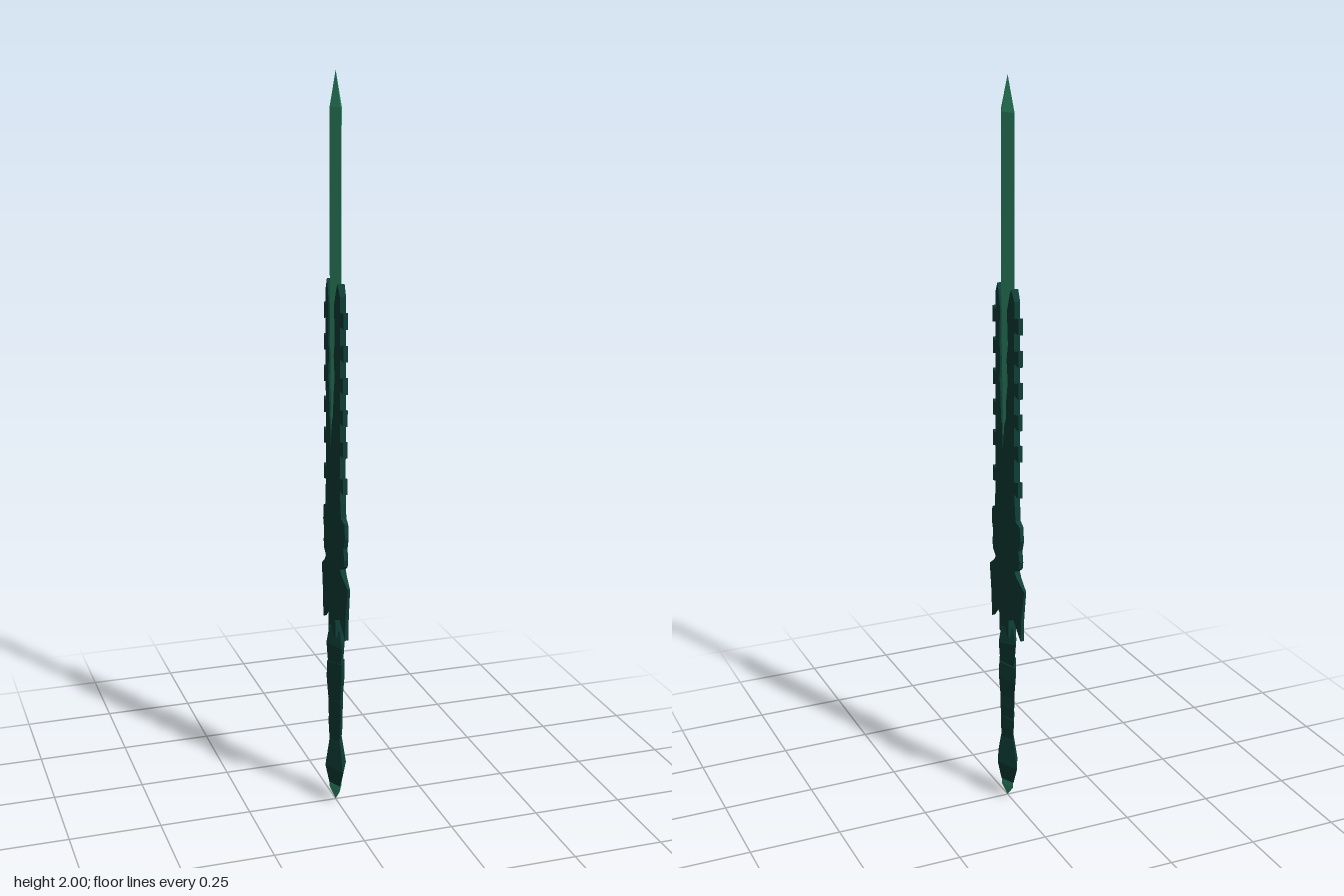
import * as THREE from 'three';

const bladeGreen = new THREE.MeshStandardMaterial({ color: 0x369c74 });
bladeGreen.name = 'bladeGreen';
const darkGreen = new THREE.MeshStandardMaterial({ color: 0x0e3f37 });
darkGreen.name = 'darkGreen';

// Four-sided solid with a diamond section; profile is [half width in z, y], bottom to top
function diamond(name, profile, flatness, material, slant = 0) {
  const points = profile.map(([r, y]) => new THREE.Vector2(r, y));
  const geometry = new THREE.LatheGeometry(points, 4).toNonIndexed();
  geometry.scale(flatness, 1, 1);
  const p = geometry.attributes.position;
  for (let i = 0; i < p.count; i++) p.setY(i, p.getY(i) + slant * p.getZ(i));
  geometry.computeVertexNormals();
  const mesh = new THREE.Mesh(geometry, material);
  mesh.name = name;
  return mesh;
}

// Half of a flat plate, thick along the centre line and thinning outward
function halfPlate(name, outline, side) {
  const shape = new THREE.Shape(outline.map(([z, y]) => new THREE.Vector2(z * side, y)));
  const geometry = new THREE.ExtrudeGeometry(shape, { depth: 1, bevelEnabled: false });
  const p = geometry.attributes.position;
  for (let i = 0; i < p.count; i++) {
    const z = p.getX(i);
    const half = 0.0138 - 0.093 * Math.abs(z);
    p.setXYZ(i, (1 - 2 * p.getZ(i)) * half, p.getY(i), z);
  }
  geometry.computeVertexNormals();
  const mesh = new THREE.Mesh(geometry, darkGreen);
  mesh.name = name;
  return mesh;
}

export function createModel() {
  const group = new THREE.Group();
  group.name = 'sword';

  // Blade, its lower end set into the casing
  group.add(diamond('blade', [[0, 0.98], [0.03, 1.0], [0.042, 1.4], [0.042, 1.91], [0, 2]], 0.38, bladeGreen));

  // Casing outline: winged guard, lobes, toothed edge, ragged opening
  const outline = [
    [0, 0.5], [0.032, 0.5], [0.03, 0.55], [0.055, 0.565], [0.096, 0.515],
    [0.099, 0.58], [0.114, 0.665], [0.075, 0.69], [0.062, 0.705],
    [0.085, 0.72], [0.09, 0.74], [0.083, 0.77], [0.095, 0.8], [0.09, 0.84], [0.068, 0.85], [0.064, 0.89],
  ];
  for (const y of [0.94, 1.04, 1.125, 1.21, 1.295, 1.38]) {
    outline.push([0.06, y - 0.017], [0.082, y - 0.022], [0.082, y + 0.022], [0.06, y + 0.017]);
  }
  outline.push(
    [0.06, 1.44], [0.044, 1.47], [0.036, 1.455], [0.022, 1.41], [0.027, 1.32],
    [0.02, 1.28], [0.026, 1.22], [0.018, 1.17], [0.016, 1.12], [0.008, 1.1], [0, 1.03],
  );
  for (const side of [1, -1]) {
    group.add(halfPlate(side > 0 ? 'frontCasing' : 'backCasing', outline, side));
  }

  // Wrapped grip: overlapping slanted segments
  const grip = [
    [0.405, 0.522, 0.042, 0.053, 0.036],
    [0.3, 0.42, 0.04, 0.052, 0.05],
    [0.235, 0.315, 0.036, 0.043, 0.043],
    [0.165, 0.255, 0.031, 0.04, 0.041],
  ];
  grip.forEach(([y0, y1, low, mid, top], i) => {
    const profile = [[0, y0], [low, y0], [mid, y0 + (y1 - y0) * 0.62], [top, y1], [0, y1]];
    group.add(diamond('gripSegment' + (i + 1), profile, 0.5, darkGreen, i % 2 ? 0.12 : -0.12));
  });

  // Pommel and its pointed gem
  group.add(diamond('pommel', [[0, 0.056], [0.04, 0.056], [0.064, 0.11], [0.038, 0.188], [0, 0.188]], 0.47, darkGreen));
  group.add(diamond('pommelGem', [[0, 0], [0.037, 0.04], [0.039, 0.06], [0, 0.06]], 0.47, bladeGreen));

  return group;
}
